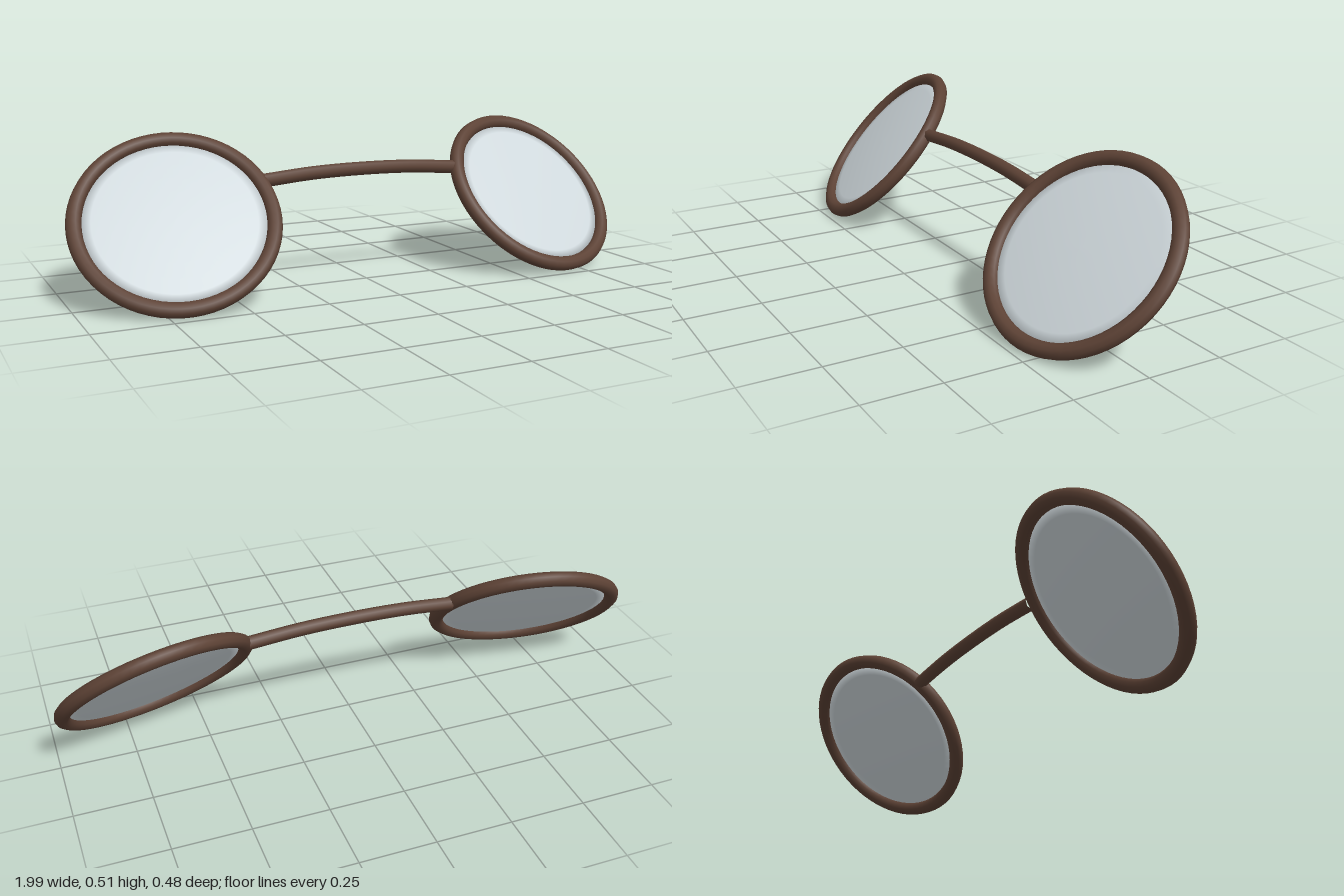
import * as THREE from 'three';

const RING_RADIUS = 0.312;
const TUBE_RADIUS = 0.025;

export function createModel() {
  const group = new THREE.Group();
  group.name = 'spectacles';

  const frameBrown = new THREE.MeshStandardMaterial({ color: 0x5d4235 });
  frameBrown.name = 'frameBrown';
  const lensGlass = new THREE.MeshStandardMaterial({ color: 0xcfd8dc });
  lensGlass.name = 'lensGlass';

  const add = (parent, name, geometry, material) => {
    const mesh = new THREE.Mesh(geometry, material);
    mesh.name = name;
    parent.add(mesh);
    return mesh;
  };

  // Round rim and a gently domed lens, shared by both sides
  const rimGeometry = new THREE.TorusGeometry(RING_RADIUS, TUBE_RADIUS, 10, 64);
  const sag = 0.014;
  const profile = [];
  for (let i = 0; i <= 12; i++) {
    const t = -1 + i / 6;
    const r = RING_RADIUS * (1 - Math.abs(t));
    profile.push(new THREE.Vector2(r, Math.sign(t) * sag * (1 - (r / RING_RADIUS) ** 2)));
  }
  const lensGeometry = new THREE.LatheGeometry(profile, 64);
  lensGeometry.rotateX(Math.PI / 2);

  // Each eyepiece leans back and turns slightly outward
  for (const side of [1, -1]) {
    const eyepiece = new THREE.Group();
    eyepiece.name = side > 0 ? 'leftEyepiece' : 'rightEyepiece';
    const facing = new THREE.Vector3(side * 0.16, 0.669, 0.725).normalize();
    eyepiece.quaternion.setFromUnitVectors(new THREE.Vector3(0, 0, 1), facing);
    eyepiece.position.set(side * 0.665, 0.258, 0);
    add(eyepiece, 'rim', rimGeometry, frameBrown);
    add(eyepiece, 'lens', lensGeometry, lensGlass);
    group.add(eyepiece);
  }

  // Slightly arched bridge between the rims
  const arch = new THREE.CatmullRomCurve3([
    new THREE.Vector3(-0.36, 0.36, -0.035),
    new THREE.Vector3(-0.18, 0.374, -0.035),
    new THREE.Vector3(0, 0.378, -0.035),
    new THREE.Vector3(0.18, 0.374, -0.035),
    new THREE.Vector3(0.36, 0.36, -0.035),
  ]);
  add(group, 'bridge', new THREE.TubeGeometry(arch, 24, 0.023, 8), frameBrown);

  return group;
}
